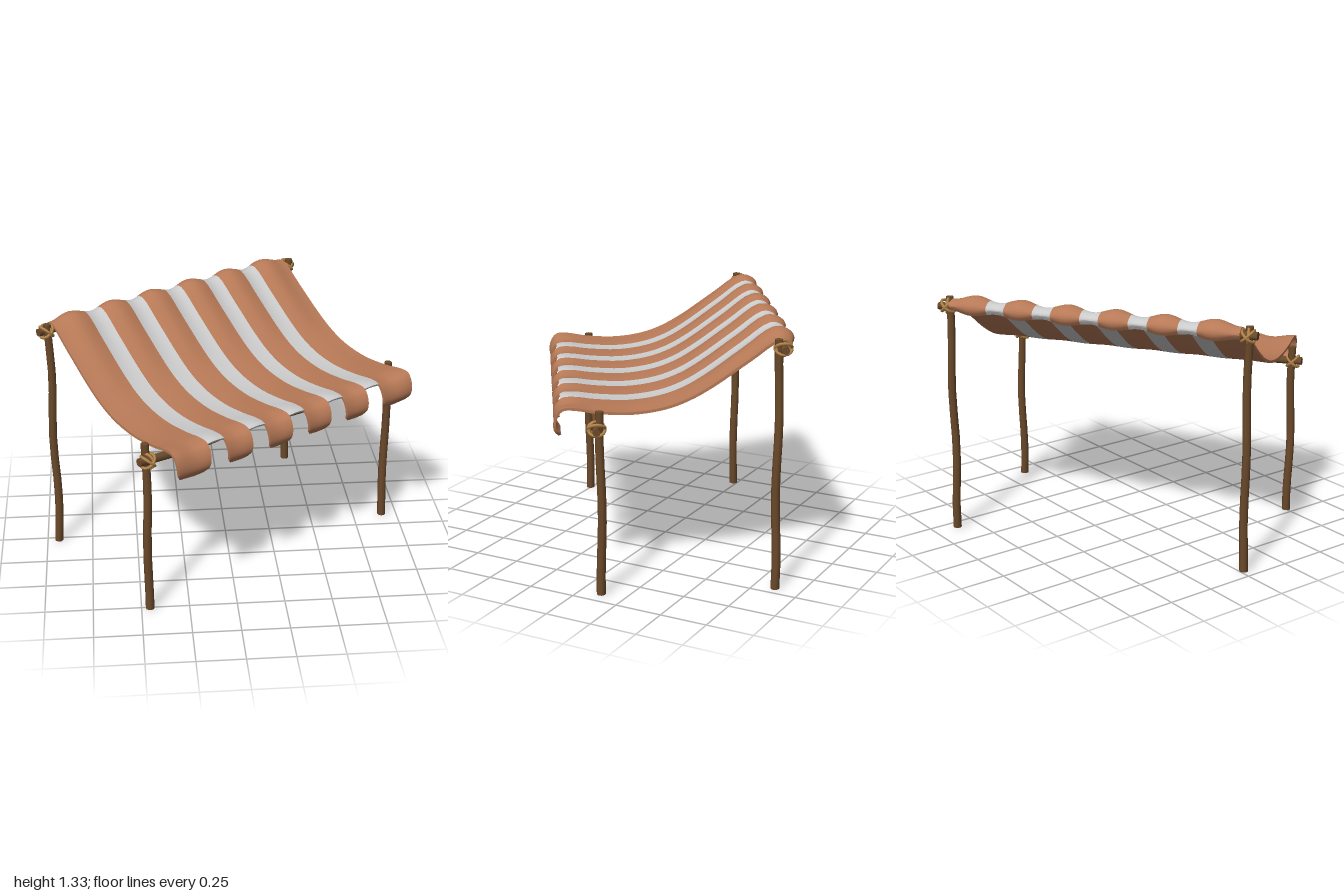
import * as THREE from 'three';
import { toCreasedNormals } from 'three/addons/utils/BufferGeometryUtils.js';

const wood = new THREE.MeshStandardMaterial({ color: 0x6b4a2b });
const rope = new THREE.MeshStandardMaterial({ color: 0xb5854a });
const brownCloth = new THREE.MeshStandardMaterial({ color: 0xb87a57, side: THREE.DoubleSide });
const paleCloth = new THREE.MeshStandardMaterial({ color: 0xcccccc, side: THREE.DoubleSide });

const HALF_W = 0.814, HALF_D = 0.4385, PITCH = 0.26, THICK = 0.014;

// Cloth section from the rear hem, over the back bar, down the slope to the valance (z, y)
const profile = new THREE.CatmullRomCurve3([
  [-0.5, 1.245], [-0.515, 1.275], [-0.49, 1.3], [-0.44, 1.305], [-0.29, 1.2],
  [-0.11, 1.07], [0, 1.005], [0.12, 0.962], [0.28, 0.94], [0.45, 0.948],
  [0.56, 0.96], [0.62, 0.952], [0.65, 0.91], [0.655, 0.86], [0.635, 0.825],
].map(([z, y]) => new THREE.Vector3(0, y, z)));
const NOTCH = 11 / 14; // where the pale stripes end and the tabs begin

// Slightly crooked pole along +y
function pole(name, length, radius, seed) {
  const geo = new THREE.CylinderGeometry(radius * 0.95, radius * 1.05, length, 8, 10);
  geo.translate(0, length / 2, 0);
  const p = geo.attributes.position;
  for (let i = 0; i < p.count; i++) {
    const y = p.getY(i);
    p.setX(i, p.getX(i) + 0.005 * Math.sin(y * 9 + seed));
    p.setZ(i, p.getZ(i) + 0.005 * Math.cos(y * 8 + seed * 2));
  }
  geo.computeVertexNormals();
  const mesh = new THREE.Mesh(toCreasedNormals(geo, 0.9), wood);
  mesh.name = name;
  return mesh;
}

// Two crossed rope loops with a small knot end
function lashing(x, y, z) {
  const g = new THREE.Group();
  g.name = 'lashing';
  for (const s of [-1, 1]) {
    const loop = new THREE.Mesh(new THREE.TorusGeometry(0.042, 0.008, 6, 14), rope);
    loop.name = 'ropeLoop';
    loop.rotation.set(Math.PI / 2, s * 0.75, 0);
    g.add(loop);
  }
  const wrap = new THREE.Mesh(new THREE.TorusGeometry(0.038, 0.008, 6, 14), rope);
  wrap.name = 'ropeWrap';
  wrap.rotation.set(0.25, Math.PI / 2 + 0.3, 0);
  g.add(wrap);
  g.position.set(x, y, z);
  return g;
}

// One thick strip of cloth; tabs narrow towards a rounded lower edge
function clothStrip(name, u0, u1, tEnd, material) {
  const rows = Math.round(tEnd * 56), cols = 8, ring = 2 * (cols + 1);
  const pos = [], index = [], mid = (u0 + u1) / 2;
  for (let i = 0; i <= rows; i++) {
    const t = (i / rows) * tEnd;
    const p = profile.getPoint(t), d = profile.getTangent(t);
    const s = Math.max(0, (t - NOTCH) / (1 - NOTCH));
    const narrow = 1 - 0.1 * s - 0.24 * s ** 5;
    // pleats: strong at the rear, faint on the slope, reversed at the front
    const amp = 0.012 * (1 - THREE.MathUtils.smoothstep(t, 0.2, 0.45)) + 0.002
      - 0.012 * THREE.MathUtils.smoothstep(t, 0.62, NOTCH) * (1 - s);
    for (let k = 0; k < ring; k++) {
      const top = k <= cols, j = top ? k : ring - 1 - k;
      const u = u0 + (u1 - u0) * j / cols;
      const off = -amp * Math.cos(2 * Math.PI * u / PITCH) + (top ? THICK / 2 : -THICK / 2);
      pos.push(mid + (u - mid) * narrow, p.y + d.z * off, p.z - d.y * off);
    }
  }
  for (let i = 0; i < rows; i++) for (let k = 0; k < ring; k++) {
    const a = i * ring + k, c = i * ring + (k + 1) % ring;
    index.push(a, a + ring, c, c, a + ring, c + ring);
  }
  // closing faces at the rear hem and the front edge
  for (let j = 0; j < cols; j++) {
    const a = j, b = ring - 1 - j, e = rows * ring;
    index.push(a, a + 1, b, a + 1, b - 1, b);
    index.push(e + a, e + b, e + a + 1, e + a + 1, e + b, e + b - 1);
  }
  const geo = new THREE.BufferGeometry();
  geo.setAttribute('position', new THREE.Float32BufferAttribute(pos, 3));
  geo.setIndex(index);
  geo.computeVertexNormals();
  const mesh = new THREE.Mesh(toCreasedNormals(geo, 0.8), material);
  mesh.name = name;
  return mesh;
}

export function createModel() {
  const model = new THREE.Group();
  model.name = 'awning';
  const frame = new THREE.Group();
  frame.name = 'frame';
  const canopy = new THREE.Group();
  canopy.name = 'canopy';

  // Posts, cross bars and rope lashings
  const ends = [
    { side: 'back', z: -HALF_D, height: 1.305, barY: 1.26 },
    { side: 'front', z: HALF_D, height: 0.96, barY: 0.872 },
  ];
  ends.forEach(({ side, z, height, barY }, n) => {
    const barZ = z + Math.sign(z) * 0.018;
    for (const s of [-1, 1]) {
      const post = pole(side + 'Post', height, 0.022, n * 2 + s);
      post.position.set(s * HALF_W, 0, z);
      frame.add(post, lashing(s * HALF_W, barY, barZ));
    }
    const bar = pole(side + 'Bar', 1.73, 0.021, n + 4);
    bar.rotation.z = -Math.PI / 2;
    bar.position.set(-0.865, barY, barZ);
    frame.add(bar);
  });

  // Striped cloth: six brown strips with tabs, five pale strips between
  const edge = 0.785, half = 0.05;
  for (let i = 0; i < 6; i++) {
    const u0 = i === 0 ? -edge : (i - 3) * PITCH + half;
    const u1 = i === 5 ? edge : (i - 2) * PITCH - half;
    canopy.add(clothStrip('brownStripe', u0, u1, 1, brownCloth));
    if (i < 5) canopy.add(clothStrip('paleStripe', u1, u1 + 2 * half, NOTCH, paleCloth));
  }

  // The whole stand is turned on its footprint
  const stand = new THREE.Group();
  stand.name = 'stand';
  stand.add(frame, canopy);
  stand.rotation.y = 0.571;
  stand.position.set(-0.01, 0, -0.05);
  model.add(stand);
  return model;
}
